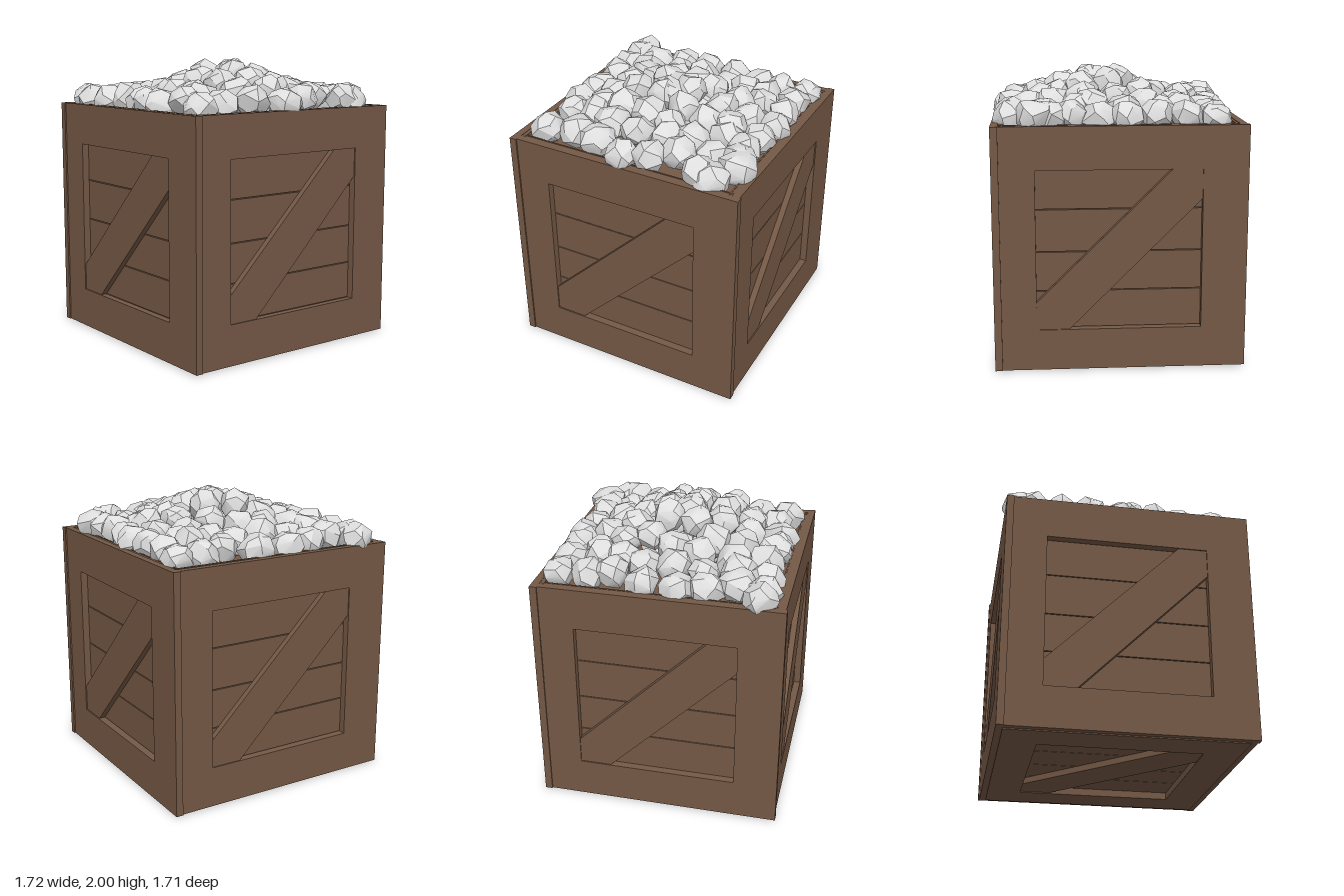
import * as THREE from 'three';
import { toCreasedNormals } from 'three/addons/utils/BufferGeometryUtils.js';
import { ConvexGeometry } from 'three/addons/geometries/ConvexGeometry.js';

const wood = new THREE.MeshStandardMaterial({ color: 0x745845 });
wood.name = 'brown wood';
const stone = new THREE.MeshStandardMaterial({ color: 0xdedede });
stone.name = 'pale stone';

// Seeded random numbers for the rock shapes
let seed = 11;
const rnd = () => {
  seed = (seed * 16807) % 2147483647;
  return seed / 2147483647;
};

function add(parent, name, geometry, material, x = 0, y = 0, z = 0) {
  const mesh = new THREE.Mesh(geometry, material);
  mesh.name = name;
  mesh.position.set(x, y, z);
  parent.add(mesh);
  return mesh;
}

const polygon = (pts) => new THREE.Shape(pts.map(([x, y]) => new THREE.Vector2(x, y)));
const extrude = (shape, depth) => new THREE.ExtrudeGeometry(shape, { depth, bevelEnabled: false });

const HOLE = { l: -0.56, r: 0.55, b: 0.29, t: 1.38 };
const THICK = 0.05;

// Crate face in the xy plane: frame with a square opening, brace and planks behind
function makeFace(name, l, r, b, t) {
  const face = new THREE.Group();
  face.name = name;

  const frame = polygon([[l, b], [r, b], [r, t], [l, t]]);
  frame.holes.push(polygon([[HOLE.l, HOLE.b], [HOLE.l, HOLE.t], [HOLE.r, HOLE.t], [HOLE.r, HOLE.b]]));
  add(face, 'frame', extrude(frame, THICK), wood);

  const brace = polygon([
    [HOLE.l, HOLE.b], [-0.34, HOLE.b], [HOLE.r, 1.18],
    [HOLE.r, HOLE.t], [0.35, HOLE.t], [HOLE.l, 0.48],
  ]);
  add(face, 'diagonalBrace', extrude(brace, THICK - 0.008), wood);

  // Planks separated by narrow grooves, with a thin backing
  const cuts = [b, 0.29, 0.55, 0.82, 1.11, 1.38, t];
  for (let i = 0; i < cuts.length - 1; i++) {
    const h = cuts[i + 1] - cuts[i] - 0.006;
    add(face, 'plank', new THREE.BoxGeometry(1.58, h, 0.02), wood, 0, (cuts[i] + cuts[i + 1]) / 2, -0.01);
  }
  add(face, 'backing', new THREE.BoxGeometry(1.58, t - b, 0.01), wood, 0, (t + b) / 2, -0.025);
  return face;
}

// Faceted boulder: hull of scattered points, softened across shallow edges
function makeRock(rx, ry, rz) {
  const points = [];
  const count = 24;
  for (let i = 0; i < count; i++) {
    const y = 1 - (2 * (i + 0.5)) / count;
    const a = i * 2.39996 + rnd() * 0.7;
    const ring = Math.sqrt(1 - y * y);
    const k = 0.9 + rnd() * 0.2;
    points.push(new THREE.Vector3(Math.cos(a) * ring * rx * k, y * ry * k, Math.sin(a) * ring * rz * k));
  }
  return toCreasedNormals(new ConvexGeometry(points), 0.5);
}

// Rock positions as [x, z], row by row from back to front
const ROCK_ROWS = [
  [[-0.65, -0.7], [-0.46, -0.68], [-0.25, -0.69], [-0.05, -0.71], [0.13, -0.68], [0.32, -0.65], [0.45, -0.68], [0.56, -0.72]],
  [[-0.63, -0.51], [-0.42, -0.48], [-0.32, -0.5], [-0.04, -0.52], [0.17, -0.48], [0.26, -0.5], [0.5, -0.5], [0.72, -0.61], [0.72, -0.53]],
  [[-0.6, -0.35], [-0.42, -0.33], [-0.19, -0.37], [0.01, -0.34], [0.22, -0.32], [0.43, -0.33], [0.6, -0.33]],
  [[-0.68, -0.12], [-0.45, -0.17], [-0.18, -0.18], [0.03, -0.1], [0.22, -0.15], [0.41, -0.15], [0.5, -0.18], [0.71, -0.16]],
  [[-0.7, 0.12], [-0.47, 0.05], [-0.28, -0.01], [-0.05, 0.11], [0.17, 0.03], [0.37, 0.03], [0.54, 0.02], [0.74, 0.03]],
  [[-0.68, 0.31], [-0.5, 0.26], [-0.3, 0.18], [-0.14, 0.24], [0.11, 0.27], [0.33, 0.24], [0.5, 0.24], [0.68, 0.25]],
  [[-0.6, 0.5], [-0.42, 0.48], [-0.3, 0.42], [-0.1, 0.44], [0.11, 0.46], [0.28, 0.44], [0.36, 0.45], [0.6, 0.45]],
  [[-0.74, 0.67], [-0.65, 0.68], [-0.45, 0.67], [-0.24, 0.63], [-0.03, 0.66], [0.05, 0.67], [0.23, 0.67], [0.4, 0.6], [0.65, 0.66]],
];

export function createModel() {
  const model = new THREE.Group();
  model.name = 'crateOfRocks';

  // Four sides, each overlapping the end of the next
  ['frontSide', 'leftSide', 'backSide', 'rightSide'].forEach((name, i) => {
    const turn = new THREE.Group();
    turn.name = name;
    turn.rotation.y = (i * Math.PI) / 2;
    const face = makeFace('panel', -0.797, 0.855, 0.008, 1.67);
    face.position.z = 0.795;
    turn.add(face);
    model.add(turn);
  });

  // Bottom, facing down, with its brace across the underside
  const bottom = makeFace('bottomSide', -0.8, 0.8, 0.035, 1.635);
  bottom.rotation.set(Math.PI / 2, 0, 0);
  bottom.position.set(0, THICK, -0.835);
  model.add(bottom);

  // Board carrying the rocks
  add(model, 'fillBoard', new THREE.BoxGeometry(1.56, 0.03, 1.56), wood, 0, 1.5, 0);

  // Heap of rocks, rising towards the middle
  const heap = new THREE.Group();
  heap.name = 'rockHeap';
  model.add(heap);
  for (const row of ROCK_ROWS) {
    for (const [x, z] of row) {
      const d = Math.hypot(x - 0.1, z);
      const rise = 0.21 * Math.exp(-((d / 0.42) ** 2));
      const r = 0.112 + rnd() * 0.02;
      const y = 1.68 + rise + rnd() * 0.04;
      const rock = add(heap, 'rock', makeRock(r, r * 0.95, r * 1.02), stone, x, y, z);
      rock.rotation.y = rnd() * 6.28;
    }
  }
  // Crowning rock and a few filling rocks under the crest
  add(heap, 'crowningRock', makeRock(0.12, 0.11, 0.12), stone, 0.14, 1.89, 0.02);
  for (let i = 0; i < 8; i++) {
    const a = (i * Math.PI) / 4;
    add(heap, 'rock', makeRock(0.13, 0.12, 0.13), stone, 0.1 + Math.cos(a) * 0.24, 1.7, Math.sin(a) * 0.24);
  }
  return model;
}
